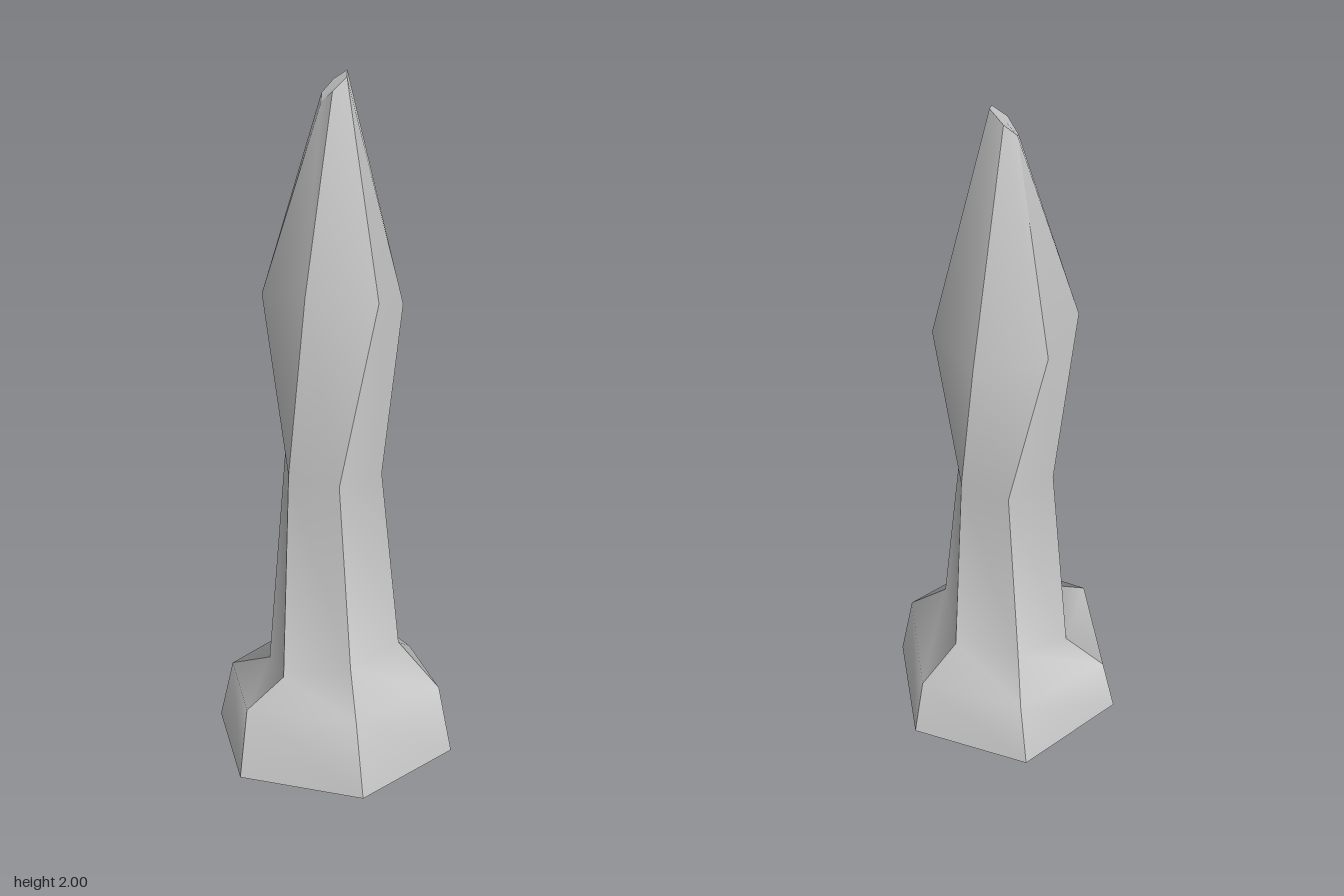
import * as THREE from 'three';

// Six-sided rings from foot to tip; each row runs from the model's left (+x) round by the front.
const rings = [
  // foot
  [[0.37, 0.03, 0], [0.185, 0.03, 0.32], [-0.185, 0.03, 0.32], [-0.37, 0.03, 0], [-0.185, 0.03, -0.32], [0.185, 0.03, -0.32]],
  // lower shoulder
  [[0.33, 0.24, 0.01], [0.155, 0.25, 0.29], [-0.175, 0.23, 0.28], [-0.33, 0.21, -0.01], [-0.155, 0.24, -0.29], [0.17, 0.21, -0.28]],
  // upper shoulder
  [[0.2, 0.36, -0.01], [0.105, 0.35, 0.175], [-0.095, 0.3, 0.185], [-0.2, 0.26, 0.01], [-0.105, 0.33, -0.175], [0.095, 0.32, -0.185]],
  // waist
  [[0.15, 0.9, 0.02], [0.06, 0.89, 0.14], [-0.095, 0.9, 0.12], [-0.152, 0.92, -0.02], [-0.06, 0.9, -0.14], [0.09, 0.9, -0.12]],
  // widest part of the point
  [[0.18, 1.37, -0.08], [0.16, 1.41, 0.11], [-0.02, 1.43, 0.19], [-0.18, 1.41, 0.08], [-0.16, 1.38, -0.115], [0.02, 1.35, -0.19]],
  // slanted tip
  [[0.03, 2, -0.03], [0.045, 1.985, 0.025], [0.015, 1.95, 0.055], [-0.025, 1.92, 0.025], [-0.04, 1.94, -0.025], [-0.015, 1.975, -0.055]],
];

const material = new THREE.MeshStandardMaterial({ color: 0xcccccc });

function makeMesh(name, points, index) {
  const geometry = new THREE.BufferGeometry();
  geometry.setAttribute('position', new THREE.Float32BufferAttribute(points.flat(), 3));
  geometry.setIndex(index);
  geometry.computeVertexNormals();
  const mesh = new THREE.Mesh(geometry, material);
  mesh.name = name;
  return mesh;
}

// Long facet between two neighbouring corners, smooth along its height
function facet(k) {
  const points = rings.flatMap((ring) => [ring[k], ring[(k + 1) % 6]]);
  const index = [];
  for (let i = 0; i < rings.length - 1; i++) {
    const a = i * 2;
    index.push(a, a + 2, a + 3, a, a + 3, a + 1);
  }
  return makeMesh('sideFacet' + (k + 1), points, index);
}

// Fan that closes a ring
function cap(name, ring, centre, up) {
  const index = [];
  for (let k = 0; k < 6; k++) {
    const next = (k + 1) % 6;
    index.push(6, up ? next : k, up ? k : next);
  }
  return makeMesh(name, [...ring, centre], index);
}

export function createModel() {
  const group = new THREE.Group();
  group.name = 'crystalSpire';
  for (let k = 0; k < 6; k++) group.add(facet(k));
  group.add(cap('tipFacet', rings[5], [0.002, 1.962, 0], true));
  group.add(cap('underside', rings[0], [0, 0, 0], false));
  return group;
}
